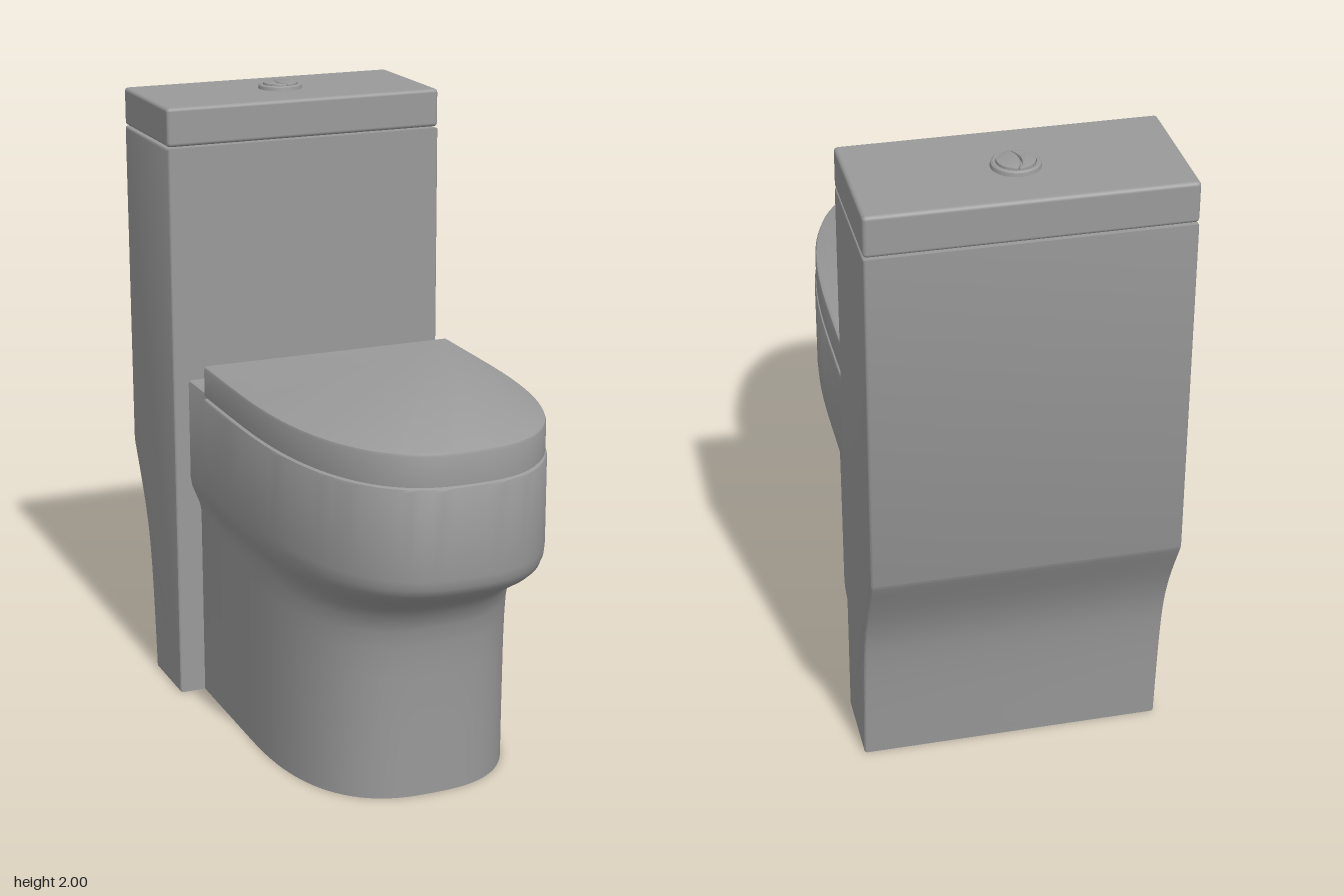
import * as THREE from 'three';
import { toCreasedNormals } from 'three/addons/utils/BufferGeometryUtils.js';
import { RoundedBoxGeometry } from 'three/addons/geometries/RoundedBoxGeometry.js';

const ceramic = new THREE.MeshStandardMaterial({ color: 0x9a9a9a });
ceramic.name = 'grey ceramic';

function part(name, geometry) {
  const mesh = new THREE.Mesh(geometry, ceramic);
  mesh.name = name;
  return mesh;
}

// D-shaped outline: straight sides from the back, then a superelliptic nose
function outline(w, front, back, start) {
  const pts = [[w, back]];
  const n = 48, e = 2 / 2.65;
  for (let i = 0; i <= n; i++) {
    const a = (i / n) * Math.PI;
    const c = Math.cos(a), s = Math.max(0, Math.sin(a));
    pts.push([w * Math.sign(c) * Math.abs(c) ** e, start + (front - start) * s ** e]);
  }
  pts.push([-w, back]);
  return pts;
}

// Skin a stack of rings, each { y, pts }, and cap both ends
function loft(rings, crease = 0.6) {
  const pos = [], idx = [], n = rings[0].pts.length;
  for (const { y, pts } of rings) for (const [x, z] of pts) pos.push(x, y, z);
  for (let i = 0; i < rings.length - 1; i++) {
    for (let j = 0; j < n; j++) {
      const k = (j + 1) % n;
      const a = i * n + j, b = i * n + k, c = a + n, d = b + n;
      idx.push(a, c, b, b, c, d);
    }
  }
  const top = (rings.length - 1) * n;
  for (let j = 1; j < n - 1; j++) {
    idx.push(0, j, j + 1, top, top + j + 1, top + j);
  }
  const g = new THREE.BufferGeometry();
  g.setAttribute('position', new THREE.Float32BufferAttribute(pos, 3));
  g.setIndex(idx);
  return toCreasedNormals(g, crease);
}

function makeBowl() {
  // height, half width, front z
  const levels = [
    [0, 0.38, 0.598], [0.2, 0.38, 0.601], [0.4, 0.38, 0.606], [0.5, 0.38, 0.614],
    [0.56, 0.38, 0.625], [0.61, 0.38, 0.645], [0.645, 0.382, 0.678], [0.67, 0.388, 0.715],
    [0.7, 0.402, 0.77], [0.725, 0.414, 0.812], [0.745, 0.422, 0.838], [0.77, 0.428, 0.852],
    [0.8, 0.43, 0.857], [1.07, 0.43, 0.857], [1.078, 0.427, 0.854], [1.082, 0.42, 0.847],
  ];
  return loft(levels.map(([y, w, f]) => ({ y, pts: outline(w, f, -0.235, 0) })));
}

function makeNeck() {
  const levels = [
    [0, 0.38], [0.64, 0.38], [0.67, 0.386], [0.7, 0.398], [0.73, 0.41], [0.76, 0.415],
    [1.08, 0.415], [1.087, 0.412], [1.09, 0.405],
  ];
  return loft(levels.map(([y, w]) => ({
    y, pts: [[w, -0.43], [w, -0.225], [-w, -0.225], [-w, -0.43]],
  })));
}

function makeSeatLid() {
  const levels = [
    [1.08, 0.418], [1.088, 0.418], [1.09, 0.425], [1.175, 0.425], [1.183, 0.422], [1.187, 0.415],
  ];
  return loft(levels.map(([y, w]) => ({ y, pts: outline(w, w + 0.427, -0.238, 0) })));
}

// Side profile of the tank and its curved rear foot, swept across the width
function makeTank() {
  const bevel = 0.008, width = 0.934;
  const s = new THREE.Shape();
  s.moveTo(-0.42, 0);
  s.lineTo(-0.42, 1.852);
  s.lineTo(-0.855, 1.852);
  s.lineTo(-0.855, 0.775);
  s.quadraticCurveTo(-0.853, 0.765, -0.845, 0.75);
  s.bezierCurveTo(-0.79, 0.645, -0.735, 0.55, -0.712, 0.43);
  s.bezierCurveTo(-0.69, 0.32, -0.68, 0.15, -0.668, 0);
  s.closePath();
  const g = new THREE.ExtrudeGeometry(s, {
    depth: width - 2 * bevel, bevelEnabled: true, bevelThickness: bevel,
    bevelSize: bevel, bevelOffset: -bevel, bevelSegments: 3, curveSegments: 16,
  });
  g.translate(0, 0, -(width - 2 * bevel) / 2);
  g.rotateY(-Math.PI / 2);
  return toCreasedNormals(g, 0.6);
}

// Half of the flush button, bounded by an arc and a curved split
function makeButtonHalf(a0, a1, bulge) {
  const r = 0.055;
  const s = new THREE.Shape();
  s.absarc(0, 0, r, a0, a1, false);
  s.quadraticCurveTo(bulge, 0, r * Math.cos(a0), r * Math.sin(a0));
  const g = new THREE.ExtrudeGeometry(s, {
    depth: 0.01, bevelEnabled: true, bevelThickness: 0.002, bevelSize: 0.002,
    bevelOffset: -0.002, bevelSegments: 2, curveSegments: 24,
  });
  g.rotateX(-Math.PI / 2);
  g.translate(0, 0.008, 0);
  return toCreasedNormals(g, 0.6);
}

export function createModel() {
  const model = new THREE.Group();
  model.name = 'toilet';

  model.add(part('bowl', makeBowl()));
  model.add(part('neck', makeNeck()));
  model.add(part('seatLid', makeSeatLid()));
  model.add(part('tank', makeTank()));

  const tankLid = part('tankLid', new RoundedBoxGeometry(0.934, 0.124, 0.435, 3, 0.012));
  tankLid.position.set(0, 1.918, -0.6375);
  model.add(tankLid);

  // Dual flush button set in a raised ring
  const button = new THREE.Group();
  button.name = 'flushButton';
  button.position.set(0, 1.98, -0.645);
  const ring = [[0, 0.008], [0.056, 0.008], [0.058, 0.014], [0.064, 0.015], [0.07, 0.011], [0.072, 0]]
    .reverse().map(([x, y]) => new THREE.Vector2(x, y));
  button.add(part('buttonRing', toCreasedNormals(new THREE.LatheGeometry(ring, 40), 0.6)));
  button.add(part('buttonRight', makeButtonHalf(-1.45, 1.45, -0.026)));
  button.add(part('buttonLeft', makeButtonHalf(1.53, 4.75, -0.034)));
  model.add(button);

  return model;
}
